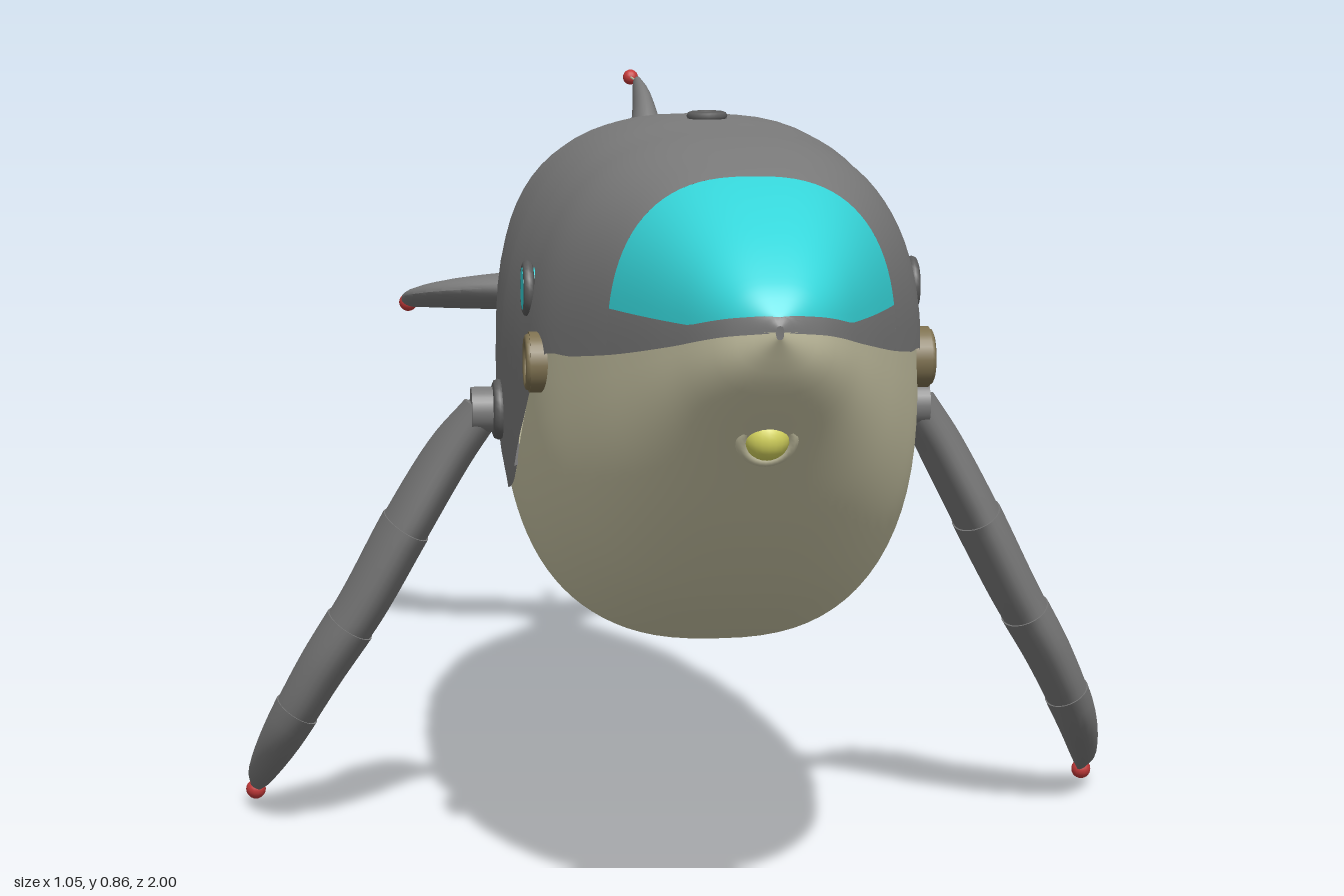
import * as THREE from 'three';
import { toCreasedNormals } from 'three/addons/utils/BufferGeometryUtils.js';

const mat = (name, color, side = THREE.DoubleSide) => {
  const m = new THREE.MeshStandardMaterial({ color, side });
  m.name = name;
  return m;
};

// Smooth interpolation of table rows, keyed on the first column
function sample(T, k) {
  const dir = Math.sign(T[1][0] - T[0][0]);
  let i = 0;
  while (i < T.length - 2 && (k - T[i + 1][0]) * dir > 0) i++;
  const h = T[i + 1][0] - T[i][0], t = (k - T[i][0]) / h;
  const slope = (j, c) => {
    const a = T[Math.max(j - 1, 0)], b = T[Math.min(j + 1, T.length - 1)];
    return (b[c] - a[c]) / (b[0] - a[0]);
  };
  return T[i].map((v, c) => {
    const w = T[i + 1][c], t2 = t * t, t3 = t2 * t;
    return (2 * t3 - 3 * t2 + 1) * v + (t3 - 2 * t2 + t) * h * slope(i, c)
      + (3 * t2 - 2 * t3) * w + (t3 - t2) * h * slope(i + 1, c);
  });
}

// Surface through equal-length rings of [x, y, z] points
function loft(rings) {
  const n = rings[0].length, idx = [];
  for (let i = 0; i < rings.length - 1; i++) for (let j = 0; j < n - 1; j++) {
    const a = i * n + j, b = a + n;
    idx.push(a, b, a + 1, b, b + 1, a + 1);
  }
  const g = new THREE.BufferGeometry();
  g.setAttribute('position', new THREE.Float32BufferAttribute(rings.flat(2), 3));
  g.setIndex(idx);
  g.scale(100, 100, 100); // keeps the crease search from joining near points
  return toCreasedNormals(g, 0.7).scale(0.01, 0.01, 0.01);
}

// z, top, bottom, colour seam, half width, height of widest point
const BODY = [
  [1, 0.697, 0.683, 0.69, 0.004, 0.69], [0.97, 0.735, 0.635, 0.683, 0.052, 0.683],
  [0.9, 0.783, 0.56, 0.665, 0.098, 0.665], [0.8, 0.82, 0.45, 0.645, 0.143, 0.64],
  [0.7, 0.837, 0.37, 0.63, 0.178, 0.615], [0.6, 0.847, 0.32, 0.615, 0.205, 0.59],
  [0.5, 0.85, 0.285, 0.53, 0.217, 0.565], [0.4, 0.853, 0.267, 0.455, 0.224, 0.55],
  [0.3, 0.85, 0.26, 0.43, 0.227, 0.55], [0.2, 0.843, 0.28, 0.432, 0.224, 0.555],
  [0.1, 0.833, 0.325, 0.445, 0.217, 0.57], [0, 0.82, 0.385, 0.5, 0.206, 0.59],
  [-0.1, 0.803, 0.46, 0.527, 0.187, 0.61], [-0.25, 0.762, 0.503, 0.49, 0.152, 0.625],
  [-0.4, 0.68, 0.51, 0.4, 0.107, 0.59], [-0.5, 0.622, 0.52, 0.4, 0.067, 0.57],
  [-0.6, 0.58, 0.53, 0.4, 0.033, 0.555], [-0.64, 0.578, 0.525, 0.4, 0.043, 0.552],
  [-0.67, 0.585, 0.515, 0.4, 0.063, 0.55],
];
const POW = 2.6;

// Angle on the body section that lies at height y
function angleAt(r, y) {
  const q = (y - r[5]) / (y > r[5] ? r[1] - r[5] : r[5] - r[2]);
  return Math.sign(q) * Math.asin(Math.min(1, Math.abs(q)) ** (POW / 2));
}
// Section arc at z between two angles
function arc(r, from, to, s, n = 40) {
  return Array.from({ length: n + 1 }, (_, j) => {
    const a = from + (to - from) * j / n, c = Math.cos(a), k = Math.sin(a);
    const h = k > 0 ? r[1] - r[5] : r[5] - r[2];
    return [s * r[4] * Math.sign(c) * Math.abs(c) ** (2 / POW),
      r[5] + s * h * Math.sign(k) * Math.abs(k) ** (2 / POW), r[0]];
  });
}
const steps = (a, b, n) => Array.from({ length: n + 1 }, (_, i) => a + (b - a) * i / n);
const seamAngle = (r) => angleAt(r, r[3]);
const visorAngle = (r) => angleAt(r, Math.min(r[1], Math.max(0.69, r[3] + 0.018)));

// Closed limb segments from elliptical sections; frame gives centre and two half axes
function limb(T, breaks, frame, flare) {
  return breaks.slice(1).map((end, b) => {
    const us = steps(breaks[b], end, 10);
    const rows = us.map((u, i) => [u, 1 + flare * (1 - i / 10)]);
    rows.unshift([us[0], 0]);
    rows.push([end, 0]);
    return loft(rows.map(([u, s]) => {
      const [c, a, w] = frame(u);
      return Array.from({ length: 25 }, (_, j) => {
        const t = j / 24 * Math.PI * 2;
        return c.map((v, k) => v + s * (Math.cos(t) * a[k] + Math.sin(t) * w[k]));
      });
    }));
  });
}

export function createModel() {
  const root = new THREE.Group();
  root.name = 'mechanicalWhale';
  const grey = mat('hullGrey', 0x7b7b7b), cream = mat('bellyCream', 0xcac6a6);
  const cyan = mat('glassCyan', 0x36d6da), red = mat('lampRed', 0xc43a3a);
  const yellow = mat('lampYellow', 0xd9d860), brown = mat('hingeBrown', 0x7e7150);
  const dark = mat('jointGrey', 0x5c5c5c);
  const add = (name, geo, m, x = 0, y = 0, z = 0) => {
    const mesh = new THREE.Mesh(geo, m);
    mesh.name = name;
    mesh.position.set(x, y, z);
    root.add(mesh);
    return mesh;
  };

  // Nose: glass visor with a lip on each side
  const nose = steps(0, 1, 24).map((t) => sample(BODY, 1 - 0.22 * t * t));
  add('visor', loft(nose.map((r) => arc(r, visorAngle(r), Math.PI - visorAngle(r), 1))), cyan);
  add('leftLip', loft(nose.map((r) => arc(r, seamAngle(r), visorAngle(r), 1, 6))), grey);
  add('rightLip', loft(nose.map((r) => arc(r, Math.PI - visorAngle(r), Math.PI - seamAngle(r), 1, 6))), grey);

  // Back plates, each overlapping the next one behind
  const cuts = [0.78, 0.56, 0.43, 0.32, 0.2, 0.1, 0, -0.1, -0.67];
  cuts.slice(1).forEach((end, i) => {
    const last = end < -0.5, n = last ? 40 : 10;
    const rows = steps(cuts[i], end, n).map((z, k) => [z, last ? 1 : 1 + 0.014 * k / n]);
    rows.push([end, last ? 0 : 0.98]);
    add('backPlate' + (i + 1), loft(rows.map(([z, s]) => {
      const r = sample(BODY, z), a = seamAngle(r);
      return arc(r, a, Math.PI - a, s);
    })), grey);
  });

  // Jaw and belly in one shell, tucked just under the plates
  add('belly', loft(steps(0, 1, 70).map((t) => {
    const r = sample(BODY, 1 - 1.26 * t ** 1.3), a = Math.min(0.04, 0.04 * (1 - t)) + seamAngle(r);
    return arc(r, Math.PI - a, Math.PI * 2 + a, 0.994);
  })), cream);

  // Chin lamp in its cup
  add('chinLamp', new THREE.SphereGeometry(0.024, 20, 14), yellow, 0, 0.572, 0.9);
  add('chinCup', new THREE.TorusGeometry(0.026, 0.007, 10, 28), cream, 0, 0.57, 0.903).rotation.x = 0.5;

  // Blowhole
  add('blowholeRim', new THREE.TorusGeometry(0.018, 0.005, 8, 24), dark, 0, 0.857, 0.375).rotation.x = Math.PI / 2;
  add('blowhole', new THREE.CylinderGeometry(0.012, 0.012, 0.01, 20), dark, 0, 0.856, 0.375);

  // u, x, y, z, half chord, half thickness
  const FLIPPER = [
    [0, 0.25, 0.52, 0.313, 0.024, 0.022], [1, 0.287, 0.462, 0.268, 0.056, 0.026],
    [2, 0.335, 0.375, 0.238, 0.071, 0.028], [3, 0.385, 0.28, 0.218, 0.064, 0.028],
    [4, 0.435, 0.195, 0.185, 0.06, 0.027], [5, 0.478, 0.11, 0.138, 0.05, 0.024],
    [6, 0.505, 0.045, 0.065, 0.032, 0.016], [7, 0.512, 0.016, 0.02, 0.006, 0.006],
  ];
  for (const s of [1, -1]) {
    const side = s > 0 ? 'left' : 'right';
    const disc = (name, r, depth, m, x, y, z) => {
      add(side + name, new THREE.CylinderGeometry(r, r, depth, 28), m, s * x, y, z).rotation.z = Math.PI / 2;
    };
    const rim = (name, r, tube, m, x, y, z) => {
      add(side + name, new THREE.TorusGeometry(r, tube, 8, 28), m, s * x, y, z).rotation.y = Math.PI / 2;
    };
    // Eye and jaw hinge
    disc('Eye', 0.023, 0.02, cyan, 0.208, 0.68, 0.505);
    rim('EyeRim', 0.025, 0.006, dark, 0.212, 0.68, 0.505);
    disc('JawHinge', 0.033, 0.022, brown, 0.206, 0.61, 0.588);
    rim('JawHingeRim', 0.026, 0.005, brown, 0.217, 0.61, 0.588);
    // Shoulder and segmented flipper
    disc('Shoulder', 0.026, 0.05, grey, 0.238, 0.52, 0.315);
    rim('ShoulderRing', 0.028, 0.007, dark, 0.232, 0.52, 0.315);
    limb(FLIPPER, [0, 2, 3.3, 4.6, 7], (u) => {
      const [, x, y, z, h, t] = sample(FLIPPER, u);
      return [[s * x, y, z], [s * 0.86 * t, 0.5 * t, 0], [0, 0, -s * h]];
    }, 0.06).forEach((g, i) => add(side + 'FlipperSegment' + (i + 1), g, grey));
    add(side + 'FlipperLamp', new THREE.SphereGeometry(0.012, 14, 10), red, s * 0.511, 0.014, 0.018);
    add(side + 'FlukeLamp', new THREE.SphereGeometry(0.013, 14, 10), red, s * 0.275, 0.49, -0.985);
  }

  // Tail fluke: u, lead x, lead z, trail x, trail z, half thickness
  const FLUKE = [
    [0, 0, -0.685, 0, -0.775, 0.036], [1, 0.06, -0.685, 0.05, -0.8, 0.034],
    [2, 0.13, -0.69, 0.11, -0.825, 0.028], [3, 0.195, -0.715, 0.155, -0.84, 0.024],
    [4, 0.25, -0.76, 0.192, -0.868, 0.02], [5, 0.284, -0.83, 0.22, -0.91, 0.015],
    [6, 0.288, -0.91, 0.245, -0.952, 0.011], [7, 0.277, -0.982, 0.27, -0.985, 0.005],
  ];
  limb(FLUKE, [-7, -2.4, 0, 2.4, 7], (u) => {
    const [, lx, lz, tx, tz, t] = sample(FLUKE, Math.abs(u)), s = u < 0 ? -1 : 1;
    const y = (z) => 0.545 + (z + 0.68) * 0.18;
    return [[s * (lx + tx) / 2, (y(lz) + y(tz)) / 2, (lz + tz) / 2],
      [s * (lx - tx) / 2, (y(lz) - y(tz)) / 2, (lz - tz) / 2], [0, t, 0]];
  }, 0).forEach((g, i) => add('flukeSegment' + (i + 1), g, grey));
  add('tailPin', new THREE.CylinderGeometry(0.012, 0.012, 0.06, 16), dark, 0, 0.548, -0.68).rotation.x = Math.PI / 2;
  add('tailSpike', new THREE.ConeGeometry(0.012, 0.06, 14), red, 0, 0.527, -0.825).rotation.x = Math.PI / 2;
  add('tailSpikeBase', new THREE.SphereGeometry(0.012, 14, 10), red, 0, 0.522, -0.85);

  // Dorsal fin: u, lead z, lead y, trail z, trail y, half width
  const FIN = [
    [0, -0.205, 0.72, -0.335, 0.68, 0.03], [1, -0.25, 0.785, -0.325, 0.745, 0.025],
    [2, -0.3, 0.825, -0.342, 0.785, 0.016], [3, -0.35, 0.843, -0.378, 0.812, 0.011],
    [4, -0.41, 0.85, -0.412, 0.828, 0.006],
  ];
  limb(FIN, [0, 4], (u) => {
    const [, lz, ly, tz, ty, w] = sample(FIN, u);
    return [[0, (ly + ty) / 2, (lz + tz) / 2], [0, (ly - ty) / 2, (lz - tz) / 2], [-w, 0, 0]];
  }, 0).forEach((g) => add('dorsalFin', g, grey));
  add('antenna', new THREE.CylinderGeometry(0.0015, 0.0015, 0.1, 8), cream, 0, 0.843, -0.45).rotation.x = Math.PI / 2;
  add('antennaLamp', new THREE.SphereGeometry(0.01, 14, 10), red, 0, 0.843, -0.503);

  return root;
}
